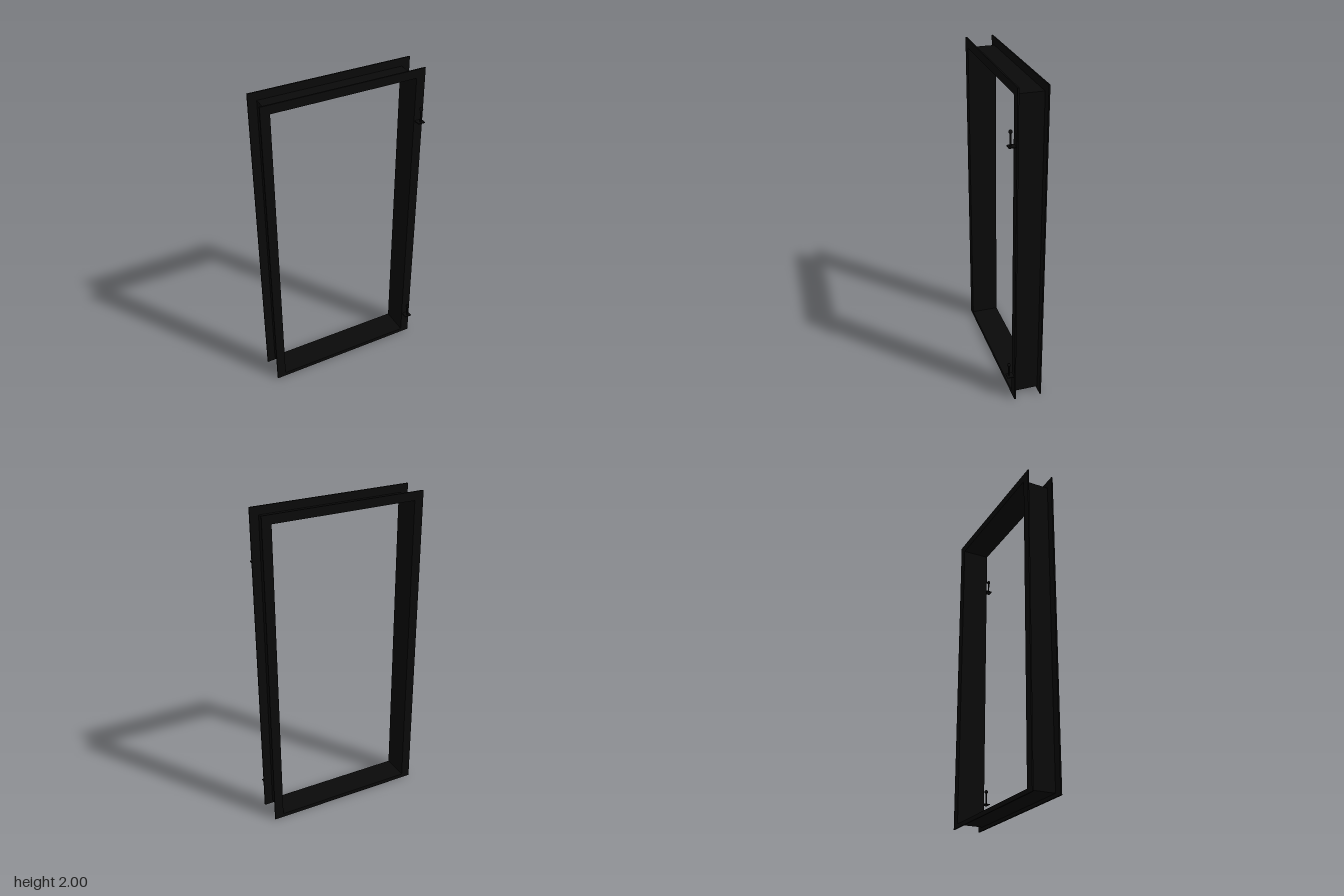
import * as THREE from 'three';

const black = new THREE.MeshStandardMaterial({ color: 0x0a0a0a });

// Rectangular ring in the XY plane: outer and inner bounds as [halfWidth, bottom, top]
function ring(name, outer, inner, z0, z1) {
  const trace = (path, [w, b, t]) => {
    path.moveTo(-w, b);
    path.lineTo(w, b);
    path.lineTo(w, t);
    path.lineTo(-w, t);
    path.closePath();
    return path;
  };
  const shape = trace(new THREE.Shape(), outer);
  shape.holes.push(trace(new THREE.Path(), inner));
  const geometry = new THREE.ExtrudeGeometry(shape, { depth: z1 - z0, bevelEnabled: false });
  const mesh = new THREE.Mesh(geometry, black);
  mesh.name = name;
  mesh.position.z = z0;
  return mesh;
}

function part(name, geometry, x, y, z) {
  const mesh = new THREE.Mesh(geometry, black);
  mesh.name = name;
  mesh.position.set(x, y, z);
  return mesh;
}

// Hinge bracket: flat plate carrying an upright pin with a rounded head
function hinge(name, y) {
  const group = new THREE.Group();
  group.name = name;
  group.add(part('hingePlate', new THREE.BoxGeometry(0.043, 0.006, 0.044), 0, 0, 0.086));
  group.add(part('hingePin', new THREE.CylinderGeometry(0.005, 0.005, 0.08, 20), 0, 0.04, 0.093));
  const head = [[0, 0], [0.0095, 0], [0.011, 0.003], [0.011, 0.009], [0.007, 0.016], [0, 0.018]]
    .map(([r, h]) => new THREE.Vector2(r, h));
  group.add(part('pinHead', new THREE.LatheGeometry(head, 20), 0, 0.076, 0.093));
  group.position.set(0.471, y, 0);
  return group;
}

export function createModel() {
  const model = new THREE.Group();
  model.name = 'doorFrame';

  const outer = [0.5, 0, 2];
  const web = [0.448, 0.021, 1.951];
  const opening = [0.444, 0.026, 1.947];

  // Two flat flanges joined by a thin lining, open as a channel on the outside
  model.add(ring('frontFlange', outer, opening, 0.057, 0.066));
  model.add(ring('backFlange', outer, opening, -0.108, -0.1));
  model.add(ring('lining', web, opening, -0.1, 0.057));

  // Hinges on the left jamb
  model.add(hinge('upperHinge', 1.677));
  model.add(hinge('lowerHinge', 0.168));
  return model;
}
